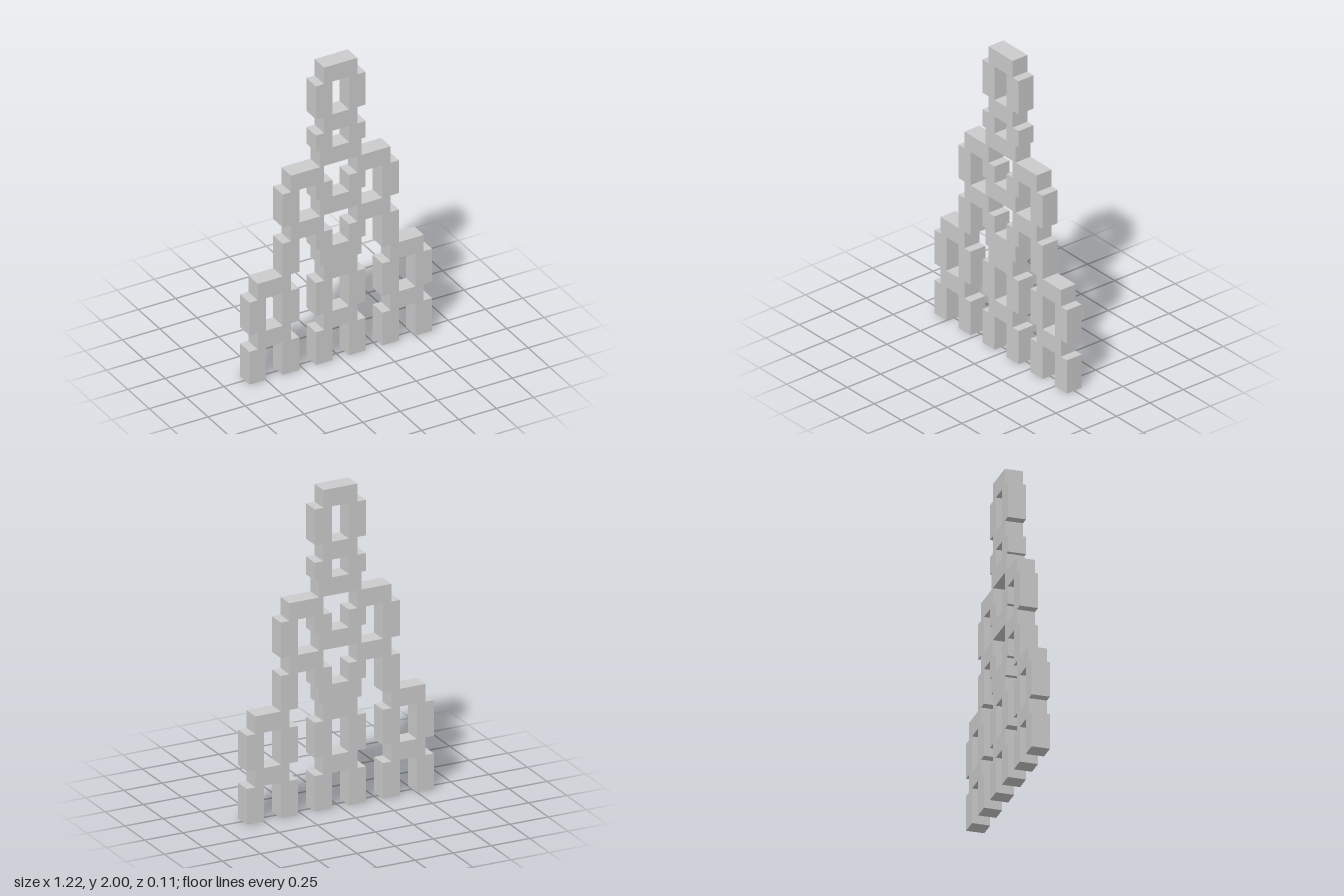
import * as THREE from 'three';

const U = 2 / 18; // edge of one block; the tower is 18 courses high

// Block types: length in units and name
const CUBE = [1, 'cube'], BEAM = [2, 'beam'], WIDE = [2.5, 'wideBeam'];

// Recurring courses: lists of [block type, centre positions in units]
const legs = [[CUBE, [-5, -3, -1, 1, 3, 5]]];
const legCaps = [[BEAM, [-4, 0, 4]]];
const bridge = [[CUBE, [-3, 3]], [WIDE, [0]]];
const posts = [[CUBE, [-3, -1, 1, 3]]];
const twinBeams = [[BEAM, [-2, 2]]];
const pair = [[CUBE, [-1, 1]]];
const cap = [[BEAM, [0]]];

// Courses from the ground up
const courses = [
  legs, legs, legCaps,
  legs, legs, legCaps,
  bridge, posts, twinBeams,
  bridge, posts, twinBeams,
  [[WIDE, [0]]], pair, cap,
  pair, pair, cap,
];

export function createModel() {
  const model = new THREE.Group();
  model.name = 'blockTower';
  const material = new THREE.MeshStandardMaterial({ color: 0xcccccc, flatShading: true });

  courses.forEach((course, row) => {
    const level = new THREE.Group();
    level.name = `course${row + 1}`;
    level.position.y = (row + 0.5) * U;
    for (const [[length, name], centres] of course) {
      const geometry = new THREE.BoxGeometry(length * U, U, U);
      for (const x of centres) {
        const block = new THREE.Mesh(geometry, material);
        block.name = name;
        block.position.x = x * U;
        level.add(block);
      }
    }
    model.add(level);
  });
  return model;
}
